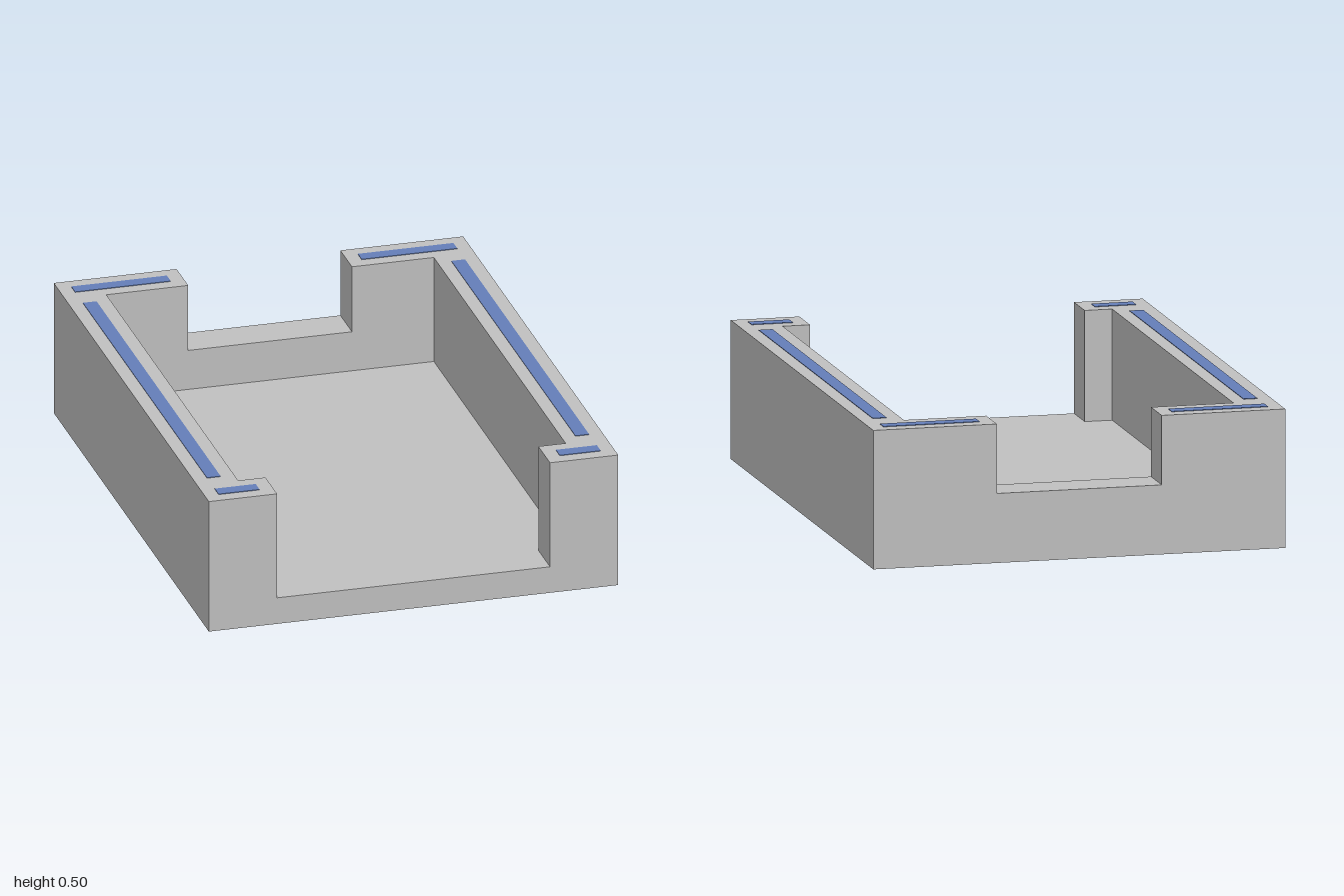
import * as THREE from 'three';

// Tray plan: break lines in x and z, and the height of every cell between them
const XS = [-0.75, -0.6, -0.5, -0.3, 0.3, 0.5, 0.6, 0.75];
const ZS = [-1, -0.85, 0.85, 1];
const WALL = 0.5, SILL = 0.25, FLOOR = 0.1;
const HEIGHTS = [
  [WALL, WALL, WALL, SILL, WALL, WALL, WALL],        // back wall with notch
  [WALL, FLOOR, FLOOR, FLOOR, FLOOR, FLOOR, WALL],   // side walls and floor
  [WALL, WALL, FLOOR, FLOOR, FLOOR, WALL, WALL],     // front lips and opening
];

// Closed stepped solid: a top for each cell and a riser wherever heights differ
function steppedSolid() {
  const pos = [];
  const quad = (a, b, c, d) => pos.push(...a, ...b, ...c, ...a, ...c, ...d);
  const h = (i, j) => HEIGHTS[j]?.[i] ?? 0;
  const nx = XS.length - 1, nz = ZS.length - 1;

  for (let j = 0; j <= nz; j++) {
    for (let i = 0; i <= nx; i++) {
      const x0 = XS[i], x1 = XS[i + 1], z0 = ZS[j], z1 = ZS[j + 1];
      const here = h(i, j), left = h(i - 1, j), behind = h(i, j - 1);
      if (i < nx && j < nz) {
        quad([x0, here, z1], [x1, here, z1], [x1, here, z0], [x0, here, z0]);
      }
      if (j < nz && left !== here) {
        quad([x0, here, z1], [x0, here, z0], [x0, left, z0], [x0, left, z1]);
      }
      if (i < nx && behind !== here) {
        quad([x0, here, z0], [x1, here, z0], [x1, behind, z0], [x0, behind, z0]);
      }
    }
  }
  // Underside
  const [xa, xb, za, zb] = [XS[0], XS[nx], ZS[0], ZS[nz]];
  quad([xa, 0, za], [xb, 0, za], [xb, 0, zb], [xa, 0, zb]);

  const geo = new THREE.BufferGeometry();
  geo.setAttribute('position', new THREE.Float32BufferAttribute(pos, 3));
  geo.computeVertexNormals();
  return geo;
}

export function createModel() {
  const grey = new THREE.MeshStandardMaterial({ color: 0xc0c0c0 });
  grey.name = 'light grey';
  const blue = new THREE.MeshStandardMaterial({ color: 0x647eb8 });
  blue.name = 'muted blue';

  const model = new THREE.Group();
  model.name = 'openTray';

  const tray = new THREE.Mesh(steppedSolid(), grey);
  tray.name = 'tray';
  model.add(tray);

  // Thin blue strips along the rim, mirrored left and right
  const strips = [
    ['sideStrip', 0.65, 0.7, -0.8, 0.8],
    ['backStrip', 0.35, 0.7, -0.95, -0.9],
    ['frontStrip', 0.55, 0.7, 0.9, 0.95],
  ];
  const thick = 0.002;
  for (const [name, x0, x1, z0, z1] of strips) {
    for (const side of [1, -1]) {
      const strip = new THREE.Mesh(new THREE.BoxGeometry(x1 - x0, thick, z1 - z0), blue);
      strip.name = name + (side > 0 ? 'Left' : 'Right');
      strip.position.set(side * (x0 + x1) / 2, WALL + thick / 2, (z0 + z1) / 2);
      model.add(strip);
    }
  }
  return model;
}
